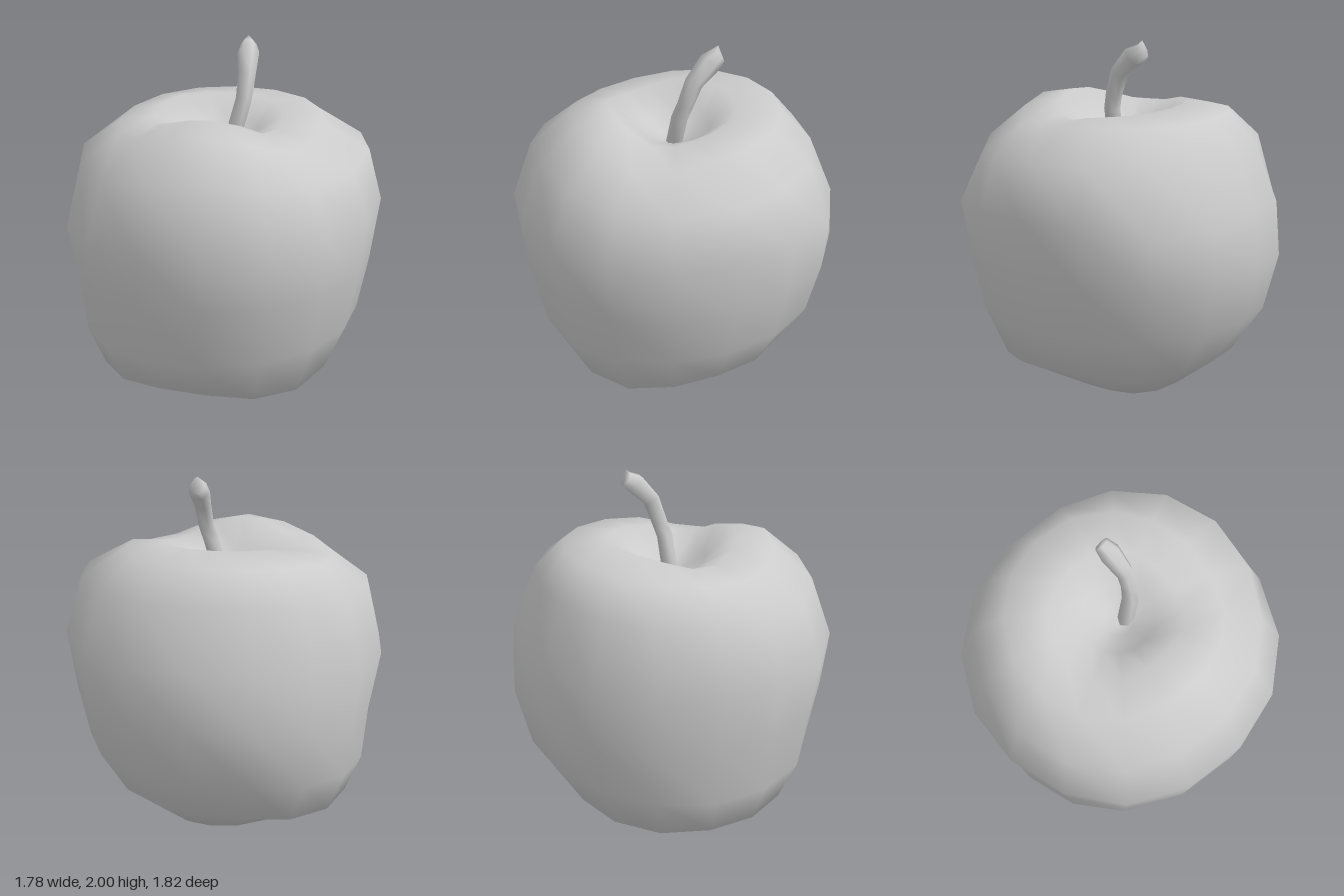
import * as THREE from 'three';

const SIDES = 16;
const material = new THREE.MeshStandardMaterial({ color: 0xcccccc });

// Skin a stack of rings (bottom to top) and close both ends with a pole point
function loft(rings, bottom, top) {
  const n = rings[0].length, last = (rings.length - 1) * n;
  const points = [...rings.flat(), bottom, top];
  const b = points.length - 2, t = points.length - 1;
  const index = [];
  for (let i = 0; i < n; i++) {
    const k = (i + 1) % n;
    for (let j = 0; j < rings.length - 1; j++) {
      const lo = j * n, hi = lo + n;
      index.push(lo + i, hi + i, hi + k, lo + i, hi + k, lo + k);
    }
    index.push(b, i, k, t, last + k, last + i);
  }
  const geometry = new THREE.BufferGeometry().setFromPoints(points);
  geometry.setIndex(index);
  geometry.computeVertexNormals();
  return geometry;
}

// Profiles [radius, height] of the fruit towards +x, +z, -x and -z
const PROFILES = [
  [[.34, .03], [.66, .24], [.78, .48], [.84, .78], [.89, 1.15], [.82, 1.43], [.55, 1.59], [.33, 1.6]],
  [[.36, .1], [.67, .17], [.79, .41], [.87, .77], [.91, 1.11], [.79, 1.44], [.57, 1.62], [.36, 1.66]],
  [[.46, .08], [.71, .15], [.8, .36], [.83, .67], [.89, 1.02], [.81, 1.39], [.6, 1.54], [.4, 1.58]],
  [[.38, .01], [.63, .21], [.82, .48], [.91, .81], [.87, 1.13], [.74, 1.43], [.6, 1.6], [.34, 1.63]],
].map((p) => [[.2, .12], ...p, [.2, 1.51], [.08, 1.44]]);

// Lobes and saddles: direction in degrees, change of [radius, height] per level
const LOBES = [
  { angle: 38, shift: { 7: [0, -.1], 8: [0, -.07], 9: [0, -.01] } },
  { angle: 45, shift: { 1: [0, -.03], 2: [0, -.05], 5: [0, -.04], 6: [-.03, -.07] } },
  { angle: 110, shift: { 2: [0, .03] } },
  { angle: 135, shift: { 1: [0, -.05], 2: [0, -.02], 5: [0, -.05], 6: [0, -.06], 7: [0, -.03] } },
  { angle: 160, shift: { 7: [0, -.01], 8: [0, -.03], 9: [0, -.03] } },
  { angle: 215, shift: { 2: [0, -.02], 5: [0, -.04], 7: [0, .01], 8: [0, .03] } },
  { angle: 315, shift: { 1: [0, -.015], 5: [.02, -.06] } },
];

function fruitPoint(level, a) {
  const q = a / (Math.PI / 2), i = Math.floor(q), f = q - i;
  const s = f * f * (3 - 2 * f);
  const [r0, y0] = PROFILES[i % 4][level], [r1, y1] = PROFILES[(i + 1) % 4][level];
  let r = THREE.MathUtils.lerp(r0, r1, s) * (1 + 0.02 * Math.sin(2 * a) ** 2);
  let y = THREE.MathUtils.lerp(y0, y1, s);
  for (const { angle, shift } of LOBES) {
    const facing = Math.max(0, Math.cos(a - THREE.MathUtils.degToRad(angle))) ** 7;
    const [dr, dy] = shift[level] ?? [0, 0];
    r += dr * facing;
    y += dy * facing;
  }
  return new THREE.Vector3(r * Math.cos(a), y, r * Math.sin(a));
}

function createFruit() {
  const rings = PROFILES[0].map((_, level) =>
    Array.from({ length: SIDES }, (_, i) => fruitPoint(level, (i / SIDES) * Math.PI * 2)));
  return loft(rings, new THREE.Vector3(0, .15, 0), new THREE.Vector3(.02, 1.42, .02));
}

// Bent stalk: centre line x, y, z and radius of each ring
function createStem() {
  const path = [
    [.03, 1.38, .02, .045], [.09, 1.6, .005, .045], [.11, 1.68, -.02, .045],
    [.12, 1.81, -.065, .05], [.115, 1.91, -.16, .062], [.11, 1.945, -.215, .045],
  ];
  const centres = path.map(([x, y, z]) => new THREE.Vector3(x, y, z));
  const xAxis = new THREE.Vector3(1, 0, 0);
  const rings = centres.map((c, j) => {
    const tangent = centres[Math.min(j + 1, path.length - 1)].clone()
      .sub(centres[Math.max(j - 1, 0)]).normalize();
    const side = new THREE.Vector3().crossVectors(xAxis, tangent).normalize();
    const across = new THREE.Vector3().crossVectors(tangent, side);
    return Array.from({ length: 6 }, (_, i) => {
      const a = (i / 6) * Math.PI * 2;
      return c.clone().addScaledVector(across, path[j][3] * Math.cos(a))
        .addScaledVector(side, path[j][3] * Math.sin(a));
    });
  });
  return loft(rings, centres[0], new THREE.Vector3(.11, 2, -.21));
}

export function createModel() {
  const group = new THREE.Group();
  group.name = 'apple';
  for (const [name, geometry] of [['fruit', createFruit()], ['stem', createStem()]]) {
    const mesh = new THREE.Mesh(geometry, material);
    mesh.name = name;
    group.add(mesh);
  }
  return group;
}
